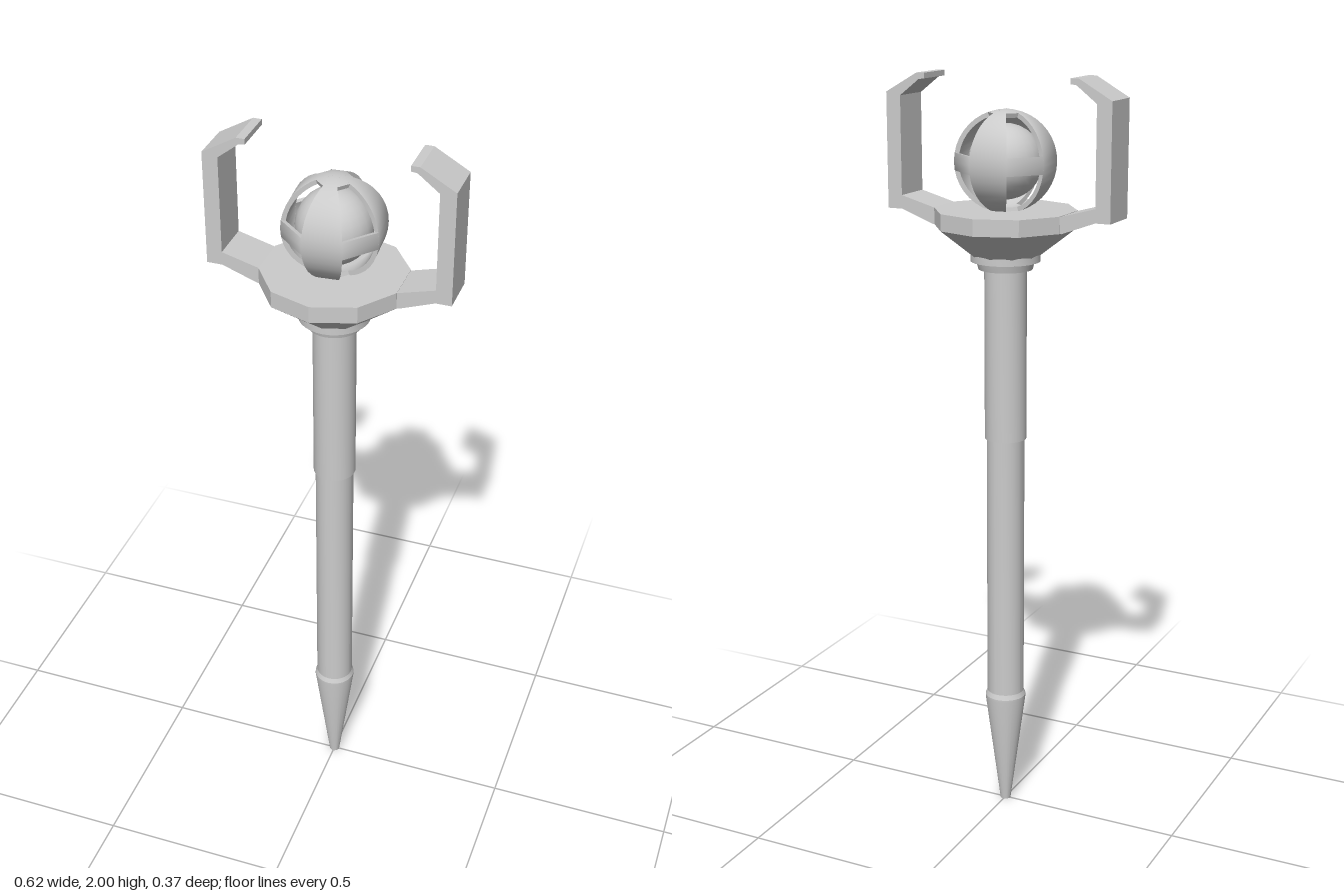
import * as THREE from 'three';
import { toCreasedNormals } from 'three/addons/utils/BufferGeometryUtils.js';

const smoothMat = new THREE.MeshStandardMaterial({ color: 0xcccccc });
const flatMat = new THREE.MeshStandardMaterial({ color: 0xcccccc, flatShading: true });
const rad = THREE.MathUtils.degToRad;

function part(name, geometry, material = smoothMat) {
  const mesh = new THREE.Mesh(geometry, material);
  mesh.name = name;
  return mesh;
}

// Turned part with crisp profile edges; profile is [radius, y] from bottom to top
function turned(name, profile, segments = 32) {
  const points = profile.map(([r, y]) => new THREE.Vector2(r, y));
  return part(name, toCreasedNormals(new THREE.LatheGeometry(points, segments), 0.3));
}

// Box bent into a piece of spherical shell: x -> longitude, y -> latitude, z -> radius
function shellBlock(lon0, lon1, pol0, pol1, r0, r1) {
  const rows = Math.max(2, Math.round((pol1 - pol0) / 9));
  const geo = new THREE.BoxGeometry(1, 1, 1, 1, rows, 1);
  const pos = geo.attributes.position;
  const isShellFace = Array.from({ length: pos.count }, (_, i) => geo.attributes.normal.getZ(i));
  for (let i = 0; i < pos.count; i++) {
    const lon = rad(THREE.MathUtils.lerp(lon0, lon1, pos.getX(i) + 0.5));
    const pol = rad(THREE.MathUtils.lerp(pol1, pol0, pos.getY(i) + 0.5));
    const r = THREE.MathUtils.lerp(r0, r1, pos.getZ(i) + 0.5);
    pos.setXYZ(i, r * Math.sin(pol) * Math.sin(lon), r * Math.cos(pol), r * Math.sin(pol) * Math.cos(lon));
  }
  geo.computeVertexNormals();
  // Radial normals keep the round faces smooth from piece to piece
  const n = new THREE.Vector3();
  for (let i = 0; i < pos.count; i++) {
    if (Math.abs(isShellFace[i]) < 0.5) continue;
    n.fromBufferAttribute(pos, i).normalize().multiplyScalar(Math.sign(isShellFace[i]));
    geo.attributes.normal.setXYZ(i, n.x, n.y, n.z);
  }
  return geo;
}

// Caged ball: four broad ribs, with upper and lower windows between them
function createOrb() {
  const orb = new THREE.Group();
  orb.name = 'orb';
  orb.position.y = 1.785;
  orb.add(part('orbCore', new THREE.SphereGeometry(0.095, 24, 16)));
  for (let k = 0; k < 4; k++) {
    const start = -18 + 90 * k;
    orb.add(part('cageRib', shellBlock(start, start + 45, 0, 180, 0.118, 0.13)));
    for (const [name, a, b] of [['cageTop', 0, 20], ['cageBand', 80, 100], ['cageBottom', 160, 180]]) {
      orb.add(part(name, shellBlock(start + 45, start + 90, a, b, 0.118, 0.13)));
    }
  }
  return orb;
}

// Hooked arm, a side profile given thickness along z
function createArm(name) {
  const outline = [
    [0.15, 1.622], [0.18, 1.622], [0.27, 1.655], [0.31, 1.655], [0.31, 1.95], [0.222, 2],
    [0.2, 2], [0.2, 1.986], [0.216, 1.984], [0.27, 1.942], [0.27, 1.69], [0.175, 1.664], [0.15, 1.664],
  ];
  const shape = new THREE.Shape(outline.map(([x, y]) => new THREE.Vector2(x, y)));
  const geo = new THREE.ExtrudeGeometry(shape, { depth: 0.11, bevelEnabled: false });
  geo.translate(0, 0, -0.055);
  return part(name, geo, flatMat);
}

export function createModel() {
  const model = new THREE.Group();
  model.name = 'staff';

  // Pointed foot, shaft and grip
  model.add(turned('foot', [[0, 0], [0.014, 0], [0.055, 0.315], [0.055, 0.322], [0.05, 0.335]]));
  model.add(turned('shaft', [[0.05, 0.33], [0.05, 1.07]]));
  model.add(turned('grip', [[0.05, 1.06], [0.055, 1.06], [0.055, 1.53]]));

  // Collar under the head
  model.add(turned('collar', [
    [0.055, 1.512], [0.07, 1.512], [0.075, 1.53], [0.09, 1.533], [0.09, 1.552], [0, 1.552],
  ]));

  // Ten-sided bowl and rim
  const bowl = part('bowl', new THREE.CylinderGeometry(0.184, 0.085, 0.077, 10, 1, true));
  bowl.position.y = 1.5835;
  const rim = part('rim', new THREE.CylinderGeometry(0.184, 0.184, 0.043, 10), flatMat);
  rim.position.y = 1.6435;
  model.add(bowl, rim);

  // Arms on both sides
  const rightArm = createArm('rightArm');
  rightArm.rotation.y = Math.PI;
  model.add(createArm('leftArm'), rightArm, createOrb());

  return model;
}
